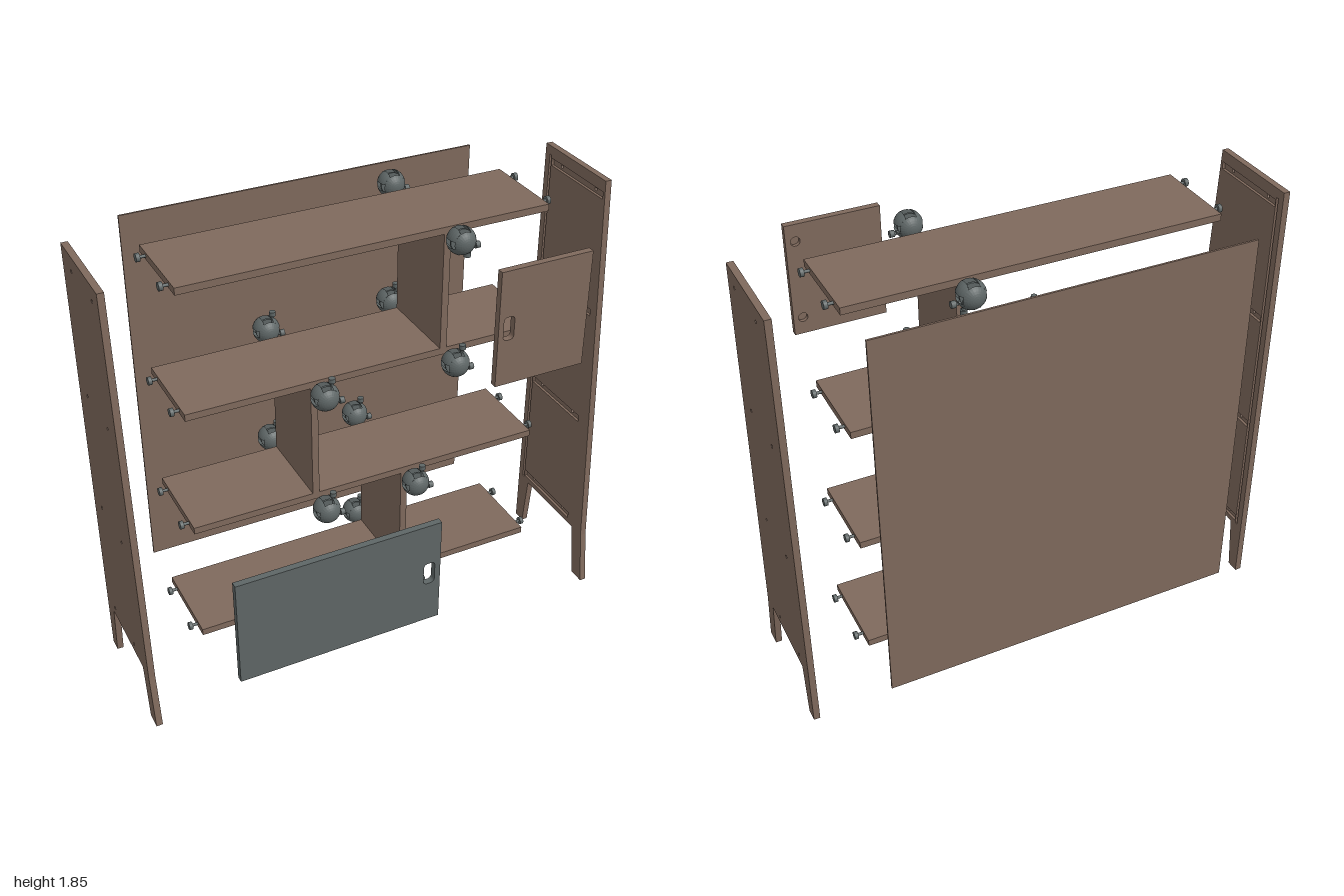
import * as THREE from 'three';

const wood = new THREE.MeshStandardMaterial({ color: 0x7f695c });
wood.name = 'brown wood';
const grey = new THREE.MeshStandardMaterial({ color: 0x5e6666 });
grey.name = 'slate grey';

const SHELF_Y = [1.79, 1.284, 0.776, 0.268];
const T = 0.028; // board thickness
const PIN_Z = [0.07, -0.163];

function add(parent, name, geo, mat, x = 0, y = 0, z = 0) {
  const m = new THREE.Mesh(geo, mat);
  m.name = name;
  m.position.set(x, y, z);
  parent.add(m);
  return m;
}

// Board given by its lower and upper corners
function board(parent, name, a, b, mat = wood) {
  const s = b.map((v, i) => v - a[i]);
  return add(parent, name, new THREE.BoxGeometry(...s), mat, ...a.map((v, i) => v + s[i] / 2));
}

const poly = (pts, Kind = THREE.Shape) => new Kind(pts.map(p => new THREE.Vector2(...p)));
const rect = (x0, y0, x1, y1, Kind) => poly([[x0, y0], [x1, y0], [x1, y1], [x0, y1]], Kind);
const circle = (x, y, r) => new THREE.Path().absarc(x, y, r, 0, Math.PI * 2, true);
const extrude = (shape, depth, curveSegments = 8) =>
  new THREE.ExtrudeGeometry(shape, { depth, bevelEnabled: false, curveSegments });

// Upright cylinder-slot outline for the door grips
function slot(x, y, w, h) {
  const r = w * 0.35, p = new THREE.Path();
  const cx = w / 2 - r, cy = h / 2 - r;
  [[1, 1, 0], [-1, 1, 1], [-1, -1, 2], [1, -1, 3]].forEach(([sx, sy, q]) =>
    p.absarc(x + sx * cx, y + sy * cy, r, q * Math.PI / 2, (q + 1) * Math.PI / 2, false));
  p.closePath();
  return p;
}

// Tapered end panel: a drilled outer layer and a grooved inner layer
function sidePanel(side) {
  const g = new THREE.Group();
  g.name = side > 0 ? 'leftSidePanel' : 'rightSidePanel';
  const outline = () => poly([[0.27, 0], [0.235, 0.23], [0.14, 1.852], [-0.268, 1.852], [-0.268, 0],
    [-0.215, 0], [-0.192, 0.23], [0.167, 0.23], [0.203, 0]]);
  const layer = (name, holes, near, far) => {
    const s = outline();
    s.holes.push(...holes);
    const geo = extrude(s, far - near);
    geo.rotateY(-Math.PI / 2);
    add(g, name, geo, wood, side > 0 ? far : -near);
  };
  layer('outerLayer', SHELF_Y.flatMap(y => PIN_Z.map(z => circle(z, y, 0.007))), 0.985, 1);
  const grooves = SHELF_Y.map(y => rect(-0.222, y - 0.015, 0.13, y + 0.015, THREE.Path));
  grooves.push(rect(-0.238, 0.243, -0.226, 1.816, THREE.Path));
  layer('grooveLayer', grooves, 0.974, 0.985);
  return g;
}

// Door with a cut-through grip and blind hinge cups in the back
function door(name, x0, y0, x1, y1, grip, cupX, mat) {
  const g = new THREE.Group();
  g.name = name;
  const front = rect(x0, y0, x1, y1), back = rect(x0, y0, x1, y1);
  front.holes.push(slot(...grip));
  back.holes.push(slot(...grip), circle(cupX, y0 + 0.07, 0.019), circle(cupX, y1 - 0.07, 0.019));
  add(g, 'doorBack', extrude(back, 0.016), mat, 0, 0, 0.438);
  add(g, 'doorFace', extrude(front, 0.011), mat, 0, 0, 0.454);
  return g;
}

// Ball joint: two domes joined by four bulged quarters around crossing slots, with a web inside
const R = 0.054, CAP = 0.031;
function capGeometry() {
  const pts = [new THREE.Vector2(0, CAP)];
  const a0 = Math.asin(CAP / R);
  for (let i = 0; i <= 6; i++) {
    const a = a0 + (Math.PI / 2 - a0) * i / 6;
    pts.push(new THREE.Vector2(Math.max(0, R * Math.cos(a)), R * Math.sin(a)));
  }
  const geo = new THREE.LatheGeometry(pts, 24).toNonIndexed();
  geo.rotateX(Math.PI / 2);
  geo.computeVertexNormals();
  return geo;
}
function quarterGeometry() {
  const gx = 0.02, gy = 0.013;
  const s = new THREE.Shape();
  s.moveTo(gx, gy);
  s.absarc(0, 0, R, Math.asin(gy / R), Math.acos(gx / R), false);
  s.closePath();
  const geo = new THREE.ExtrudeGeometry(s, { depth: CAP * 2, steps: 6, bevelEnabled: false, curveSegments: 6 });
  geo.translate(0, 0, -CAP);
  const p = geo.attributes.position;
  for (let i = 0; i < p.count; i++) {
    const x = p.getX(i), y = p.getY(i), z = p.getZ(i);
    if (Math.hypot(x, y) < R * 0.99) continue;
    const k = Math.sqrt(1 - (z / R) ** 2);
    p.setXY(i, Math.max(x * k, gx), Math.max(y * k, gy));
  }
  geo.computeVertexNormals();
  return geo;
}
const cap = capGeometry(), quarter = quarterGeometry();
// Mirrored copy of the quarter is made by turning it about x or y
function connector(x, y, z, knobDir) {
  const g = new THREE.Group();
  g.name = 'ballConnector';
  g.position.set(x, y, z);
  add(g, 'frontDome', cap, grey);
  add(g, 'backDome', cap, grey).rotation.x = Math.PI;
  [[0, 0], [Math.PI, 0], [0, Math.PI], [Math.PI, Math.PI]].forEach(([rx, ry]) =>
    add(g, 'quarter', quarter, grey).rotation.set(rx, ry, 0));
  const web = new THREE.CylinderGeometry(0.044, 0.044, 0.008, 20);
  web.rotateX(Math.PI / 2);
  add(g, 'web', web, grey);
  // clamping screws
  const stem = new THREE.CylinderGeometry(0.007, 0.007, 0.05, 12);
  const head = new THREE.CylinderGeometry(0.013, 0.013, 0.018, 14);
  add(g, 'sideScrewStem', stem, grey, 0.04, -0.028, 0.007).rotation.z = Math.PI / 2;
  add(g, 'sideScrewHead', head, grey, 0.063, -0.028, 0.007).rotation.z = Math.PI / 2;
  add(g, 'uprightScrewStem', stem, grey, 0.028, knobDir * 0.04, 0);
  add(g, 'uprightScrewHead', head, grey, 0.028, knobDir * 0.062, 0);
  return g;
}

export function createModel() {
  const model = new THREE.Group();
  model.name = 'explodedShelfUnit';

  model.add(sidePanel(1), sidePanel(-1));
  board(model, 'backPanel', [-0.735, 0.243, -0.464], [0.735, 1.816, -0.456]);

  // Shelves with their end pins
  SHELF_Y.forEach(y => {
    board(model, 'shelf', [-0.735, y - T / 2, -0.226], [0.735, y + T / 2, 0.128]);
    for (const s of [-1, 1]) for (const z of PIN_Z) {
      add(model, 'pinShank', new THREE.CylinderGeometry(0.006, 0.006, 0.03, 12), grey, s * 0.748, y, z)
        .rotation.z = Math.PI / 2;
      add(model, 'pinHead', new THREE.CylinderGeometry(0.016, 0.016, 0.015, 16), grey, s * 0.765, y, z)
        .rotation.z = Math.PI / 2;
    }
  });

  // Upright dividers, each held by ball joints front and back
  [[0.307, 0], [-0.233, 1], [0.151, 2]].forEach(([x, row]) => {
    const top = SHELF_Y[row], low = SHELF_Y[row + 1];
    board(model, 'divider', [x - T / 2, low + T / 2, -0.226], [x + T / 2, top - T / 2, 0.128]);
    for (const z of [0.222, -0.317]) {
      model.add(connector(x, top + 0.003, z, row === 0 ? -1 : 1));
      model.add(connector(x, low, z, 1));
    }
  });

  model.add(door('largeDoor', -0.71, 0.287, 0.136, 0.754, [0.088, 0.52, 0.048, 0.1], -0.67, grey));
  model.add(door('smallDoor', 0.332, 1.307, 0.706, 1.772, [0.375, 1.54, 0.044, 0.094], 0.668, wood));
  return model;
}
